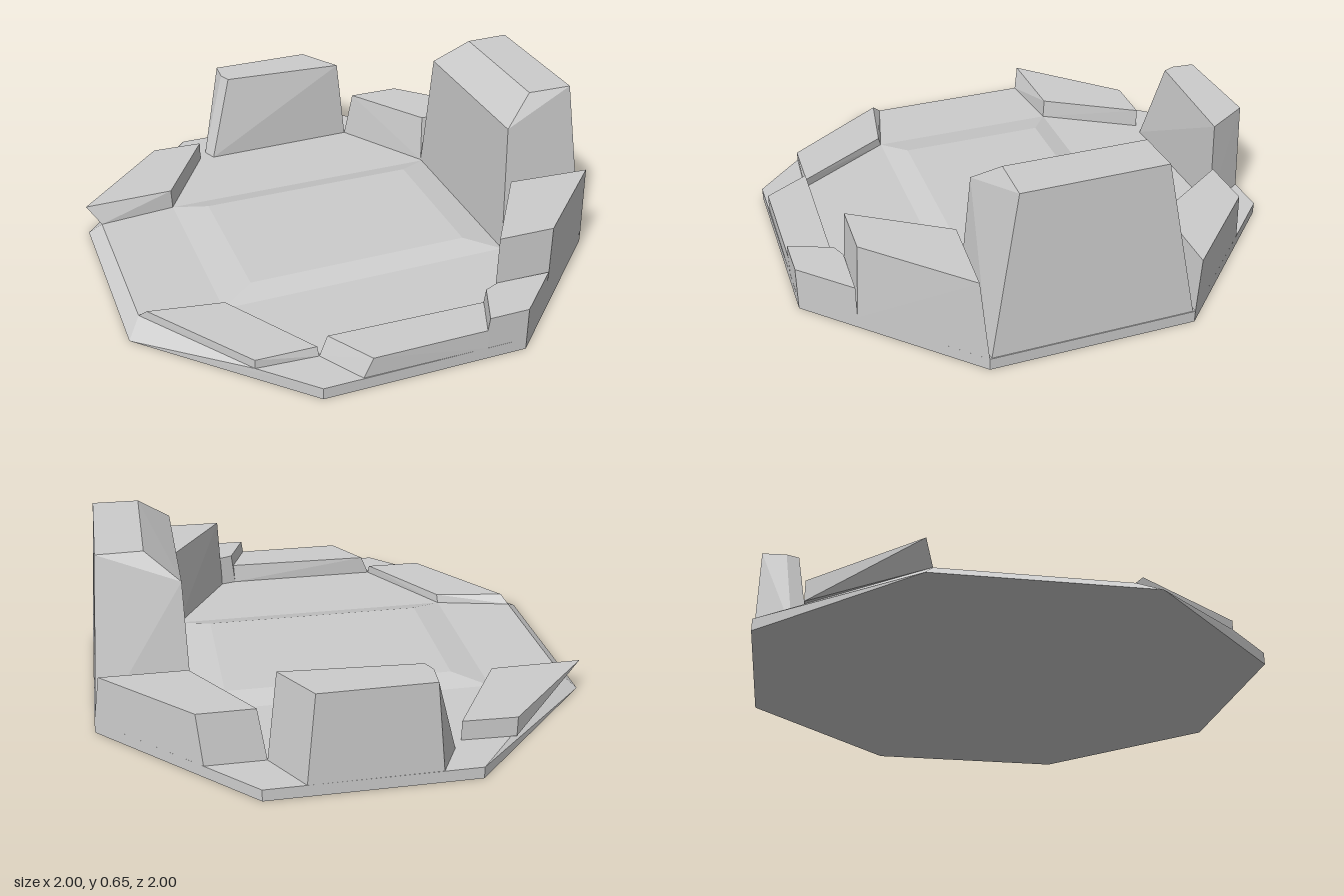
import * as THREE from 'three';
import { ConvexGeometry } from 'three/addons/geometries/ConvexGeometry.js';

const FLOOR = 0.045;
const material = new THREE.MeshStandardMaterial({ color: 0xcccccc, flatShading: true });

// Place a plan outline [x, z] at height y
const at = (y, plan) => plan.map(([x, z]) => new THREE.Vector3(x, y, z));

// Faceted convex block spanning several outlines
function block(name, ...outlines) {
  const mesh = new THREE.Mesh(new ConvexGeometry(outlines.flat()), material);
  mesh.name = name;
  return mesh;
}

export function createModel() {
  const group = new THREE.Group();
  group.name = 'octagonalTerrain';

  // Eight-sided base, chamfered along the front right
  const octagon = [];
  for (let i = 0; i < 8; i++) {
    const a = (i * Math.PI) / 4;
    octagon.push([Math.cos(a), Math.sin(a)]);
  }
  const rim = octagon.filter((p, i) => i !== 2 && i !== 3);
  rim.push([-0.66, 0.67], [-0.05, 0.92], [0.47, 0.805]);
  group.add(block('base', at(0, octagon), at(FLOOR, rim)));

  // Low raised floor with sloping borders
  const floor = [[-0.13, -0.67], [0.57, -0.38], [0.13, 0.67], [-0.57, 0.38]];
  group.add(block('raisedFloor', at(FLOOR, floor),
    at(0.072, floor.map(([x, z]) => [x * 0.77, z * 0.77]))));

  // Tallest block at the back, with a sloping shoulder
  group.add(block('tallBackBlock',
    at(0, [[0, -1], [0.707, -0.707]]),
    at(FLOOR, [[0.57, -0.38], [-0.14, -0.67]]),
    at(0.55, [[0.53, -0.41], [-0.08, -0.66]]),
    at(0.65, [[0.09, -0.91], [0.58, -0.71], [0.51, -0.55], [0.03, -0.75]])));

  // Blocks around the rim, each tapering slightly from its foot to its top
  const blocks = [
    ['backRightBlock', 0.24,
      [[0, -1], [-0.475, -0.803], [-0.56, -0.6], [-0.14, -0.67]],
      [[-0.035, -0.985], [-0.45, -0.813], [-0.53, -0.62], [-0.16, -0.69]]],
    ['rightTallBlock', 0.39,
      [[-0.765, -0.567], [-0.56, -0.6], [-0.79, -0.01], [-0.85, -0.01], [-0.945, -0.13]],
      [[-0.776, -0.54], [-0.58, -0.57], [-0.8, -0.12], [-0.85, -0.12], [-0.93, -0.16]]],
    ['rightOverhangSlab', 0.122,
      [[-0.905, 0.225], [-0.82, 0.04], [-0.57, 0.38], [-0.66, 0.67]],
      [[-0.905, 0.225], [-0.82, 0.04], [-0.575, 0.38], [-0.707, 0.707]]],
    ['frontSlab', 0.08,
      [[-0.05, 0.92], [0.13, 0.67], [0.57, 0.6], [0.47, 0.805]],
      [[-0.01, 0.91], [0.14, 0.67], [0.56, 0.6], [0.47, 0.805]]],
    ['frontLeftSlab', 0.122,
      [[0.57, 0.6], [0.76, 0.57], [0.942, 0.14], [0.81, 0.03]],
      [[0.58, 0.57], [0.775, 0.54], [0.942, 0.14], [0.82, 0.03]]],
    ['leftStep', 0.172,
      [[0.82, -0.04], [0.905, -0.23], [1, 0], [0.935, 0.155], [0.81, 0.03]],
      [[0.82, -0.04], [0.905, -0.23], [1, 0], [0.942, 0.14], [0.82, 0.02]]],
    ['leftBlock', 0.35,
      [[0.56, -0.38], [0.707, -0.707], [0.905, -0.23], [0.82, -0.03]],
      [[0.58, -0.39], [0.72, -0.675], [0.895, -0.245], [0.81, -0.05]]],
  ];
  for (const [name, height, foot, top] of blocks) {
    group.add(block(name, at(FLOOR, foot), at(height, top)));
  }
  return group;
}
